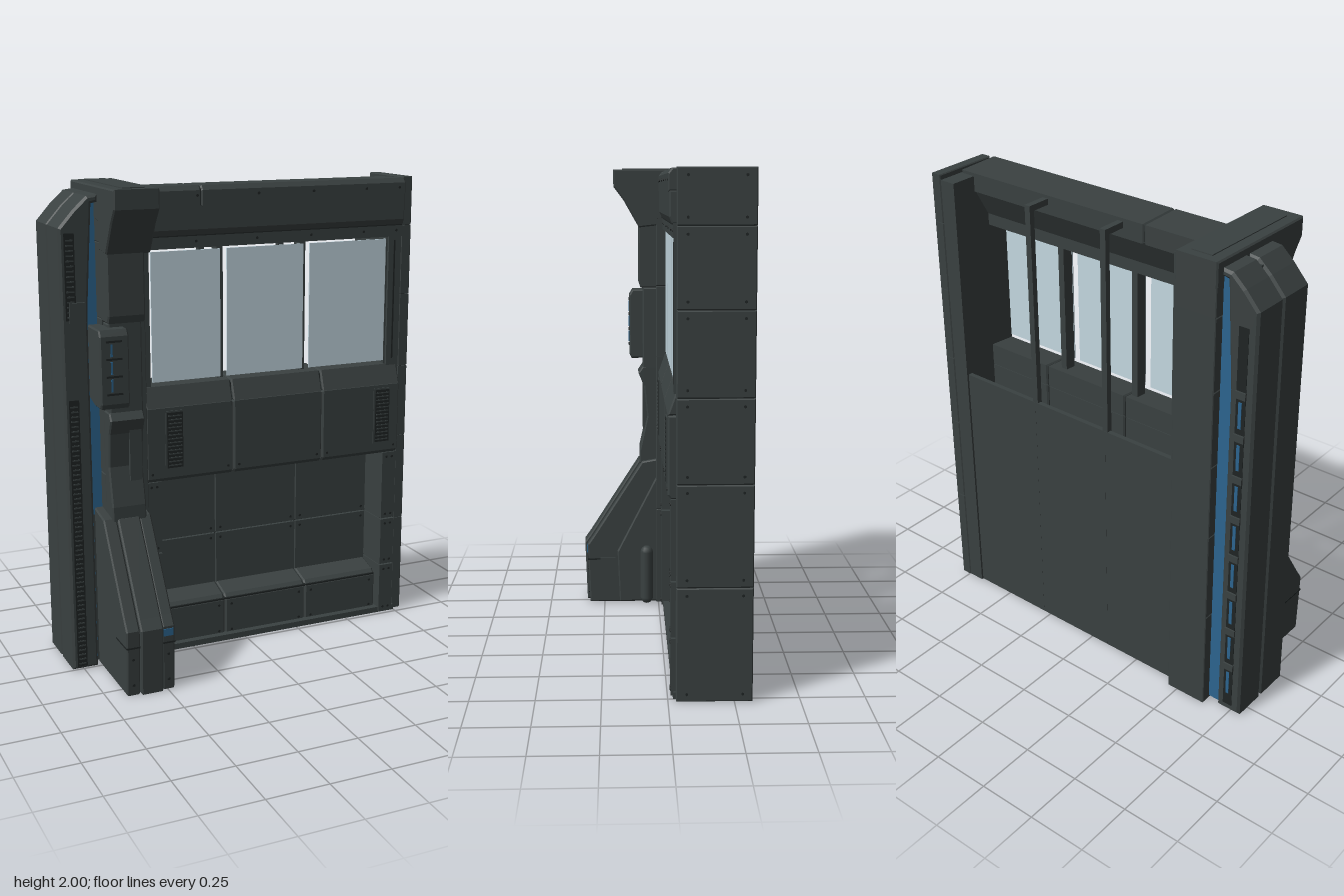
import * as THREE from 'three';

const mat = (name, color, side = THREE.FrontSide) => {
  const m = new THREE.MeshStandardMaterial({ color, side });
  m.name = name;
  return m;
};

export function createModel() {
  const root = new THREE.Group();
  root.name = 'windowWall';
  const steel = mat('dark steel', 0x3a4141);
  const seam = mat('seam black', 0x1f2424);
  const blue = mat('blue light', 0x2c658f);
  const glass = mat('pale glass', 0xc4d8e1, THREE.DoubleSide);

  const add = (name, geo, m) => {
    const mesh = new THREE.Mesh(geo, m);
    mesh.name = name;
    root.add(mesh);
    return mesh;
  };
  // box from its min / max limits
  const box = (name, m, x0, x1, y0, y1, z0, z1) =>
    add(name, new THREE.BoxGeometry(x1 - x0, y1 - y0, z1 - z0)
      .translate((x0 + x1) / 2, (y0 + y1) / 2, (z0 + z1) / 2), m);
  const shape = pts => new THREE.Shape(pts.map(p => new THREE.Vector2(p[0], p[1])));
  // outline extruded over a depth, with a small bevel kept inside the limits
  const bevelled = (pts, depth, b) => new THREE.ExtrudeGeometry(shape(pts), {
    depth: depth - 2 * b, bevelEnabled: true, bevelSize: b,
    bevelOffset: -b, bevelThickness: b, bevelSegments: 1,
  });
  // [z, y] section swept along x
  const sweep = (name, m, pts, x0, x1, b = 0.006) =>
    add(name, bevelled(pts, x1 - x0, b).rotateY(-Math.PI / 2).translate(x1 - b, 0, 0), m);
  const rivetGeo = new THREE.CylinderGeometry(0.006, 0.006, 0.006, 6).rotateX(Math.PI / 2);
  const rivet = (x, y, z, side = false) => {
    const r = add('rivet', rivetGeo, seam);
    r.position.set(x, y, z);
    if (side) r.rotation.y = Math.PI / 2;
  };
  // plates with open joints, riveted near their corners
  const plates = (name, xs, ys, z0, z1, gap = 0.003) => {
    for (let i = 0; i < xs.length - 1; i++) for (let j = 0; j < ys.length - 1; j++) {
      const [a, b, c, d] = [xs[i] + gap, xs[i + 1] - gap, ys[j] + gap, ys[j + 1] - gap];
      box(name, steel, a, b, c, d, z0, z1);
      for (const x of [a + 0.02, b - 0.02]) for (const y of [c + 0.02, d - 0.02])
        rivet(x, y, z1);
    }
  };

  // right end column
  const colY = [0.008, 0.45, 0.84, 1.16, 1.48, 1.78, 1.988];
  box('endColumnCore', seam, 0.75, 0.785, 0.015, 1.98, -0.31, -0.035);
  for (let i = 0; i < colY.length - 1; i++) {
    sweep('endColumnPlate', steel, [[-0.318, colY[i] + 0.001], [-0.03, colY[i] + 0.001],
      [-0.03, colY[i + 1] - 0.001], [-0.318, colY[i + 1] - 0.001]], 0.743, 0.791, 0.004);
    for (const y of [colY[i] + 0.03, colY[i + 1] - 0.03])
      for (const z of [-0.28, -0.07]) rivet(0.789, y, z, true);
  }
  box('endPost', steel, 0.672, 0.745, 0.008, 1.965, -0.314, -0.035);

  // back cladding and floor
  box('floor', steel, -0.46, 0.75, 0.005, 0.03, -0.3, -0.02);
  for (const [a, b] of [[-0.46, -0.09], [-0.0895, 0.285], [0.2855, 0.68]])
    box('backPanel', steel, a, b, 0.008, 1.1, -0.305, -0.285);

  // rear bars hooking onto the roof
  for (const x of [-0.09, 0.285]) {
    box('rearBar', steel, x - 0.013, x + 0.013, 1.0, 1.965, -0.304, -0.28);
    box('rearBarHook', steel, x - 0.013, x + 0.013, 1.94, 1.965, -0.29, -0.19);
  }

  // roof beam and header, sloping down to the window at the back
  const roof = [[-0.2, 1.9], [0, 1.9], [0, 1.965], [-0.015, 1.984], [-0.2, 1.978]];
  sweep('roofBeam', steel, roof, -0.456, -0.203);
  sweep('roofBeam', steel, roof, -0.201, 0.742);
  box('roofSeam', seam, -0.21, -0.19, 1.902, 1.97, -0.19, -0.008);
  sweep('header', steel, [[-0.13, 1.785], [-0.015, 1.785], [-0.004, 1.81], [-0.004, 1.905], [-0.198, 1.905]], -0.456, 0.742);
  box('windowHead', steel, -0.455, 0.74, 1.735, 1.788, -0.13, -0.018);
  box('headerSeam', seam, -0.44, 0.735, 1.783, 1.793, -0.1, -0.014);
  for (const x of [-0.42, -0.22, 0.05, 0.3, 0.55, 0.71]) {
    rivet(x, 1.945, 0);
    rivet(x, 1.762, -0.018);
  }

  // window, with the panes standing proud of the frame
  box('windowJamb', steel, -0.46, -0.418, 1.15, 1.76, -0.13, -0.035);
  box('jambCover', steel, 0.678, 0.738, 1.17, 1.76, -0.04, -0.022);
  box('jambGroove', seam, 0.702, 0.709, 1.2, 1.72, -0.03, -0.02);
  for (const x of [-0.095, 0.285]) box('mullion', steel, x - 0.014, x + 0.014, 1.17, 1.76, -0.12, -0.07);
  for (const [a, b] of [[-0.412, -0.11], [-0.08, 0.27], [0.3, 0.667]])
    box('glassPane', glass, a, b, 1.192, 1.725, -0.036, -0.03);

  // console below the window
  const seams = [-0.455, -0.065, 0.355, 0.738];
  box('consoleCore', seam, -0.445, 0.73, 0.79, 1.16, -0.14, -0.03);
  for (let i = 0; i < 3; i++) {
    sweep('consolePanel', steel, [[-0.15, 0.775], [-0.012, 0.775], [0, 0.79], [0, 1.088], [-0.15, 1.088]],
      seams[i] + 0.002, seams[i + 1] - 0.002);
    sweep('consoleSill', steel, [[-0.15, 1.09], [0, 1.09], [-0.03, 1.175], [-0.15, 1.185]],
      seams[i] + 0.002, seams[i + 1] - 0.002);
    for (const x of [seams[i] + 0.025, seams[i + 1] - 0.025]) rivet(x, 0.81, 0);
  }
  for (const x of [-0.33, 0.65]) {
    box('consoleVentFrame', steel, x - 0.042, x + 0.042, 0.825, 1.075, -0.01, 0.004);
    box('consoleVent', seam, x - 0.035, x + 0.035, 0.832, 1.068, -0.01, 0.006);
    for (let i = 0; i < 14; i++)
      box('ventSlat', steel, x - 0.03, x + 0.03, 0.841 + i * 0.0162, 0.846 + i * 0.0162, 0, 0.008);
  }

  // recess and bench
  const bays = [-0.385, -0.085, 0.305, 0.665];
  box('recessBacking', seam, -0.45, 0.735, 0.02, 0.8, -0.2, -0.17);
  plates('recessPanel', bays, [0.2, 0.46, 0.765], -0.18, -0.155);
  for (let i = 0; i < 3; i++) {
    sweep('bench', steel, [[-0.17, 0.01], [-0.05, 0.01], [-0.05, 0.18], [-0.07, 0.205], [-0.17, 0.235]],
      bays[i] + 0.002, bays[i + 1] - 0.002);
    for (const x of [bays[i] + 0.03, bays[i + 1] - 0.03]) for (const y of [0.04, 0.16]) rivet(x, y, -0.05);
  }
  box('benchGroove', seam, -0.38, 0.66, 0.183, 0.19, -0.1, -0.049);
  plates('recessSide', [-0.455, -0.385], [0.01, 0.46, 0.775], -0.18, -0.012);
  plates('recessSide', [0.665, 0.738], [0.01, 0.24, 0.46, 0.775], -0.18, -0.012);

  // outer left casing, chamfered at the top and reaching over the light channel
  const casing = [[-0.797, 0.008], [-0.797, 1.84], [-0.735, 1.91], [-0.68, 1.96], [-0.636, 1.965],
    [-0.636, 1.935], [-0.662, 1.93], [-0.688, 1.5], [-0.688, 0.008]];
  for (const [z0, z1] of [[-0.316, -0.16], [-0.159, 0.004]])
    add('outerCasing', bevelled(casing, z1 - z0, 0.01).translate(0, 0, z0 + 0.01), steel);
  // slotted strips on the front and back of the casing
  for (const [y0, y1] of [[0.02, 1.16], [1.48, 1.82]]) {
    box('casingVent', seam, -0.778, -0.736, y0, y1, 0, 0.006);
    for (let y = y0 + 0.01; y < y1 - 0.01; y += 0.02) box('casingSlat', steel, -0.772, -0.742, y, y + 0.006, 0, 0.008);
  }
  box('casingClip', steel, -0.765, -0.7, 1.47, 1.55, 0, 0.016);
  box('casingBackSlot', seam, -0.76, -0.718, 0.04, 1.77, -0.318, -0.3);
  for (let i = 0; i < 8; i++) {
    const y = 0.1 + i * 0.18;
    box('casingBackLight', blue, -0.744, -0.73, y, y + 0.11, -0.32, -0.31);
    box('casingBackRung', steel, -0.762, -0.716, y + 0.125, y + 0.155, -0.325, -0.31);
  }
  // light channel sunk between casing and pillar
  box('channel', steel, -0.7, -0.62, 0.01, 1.94, -0.285, -0.05);
  box('frontLight', blue, -0.689, -0.637, 0.66, 1.94, -0.05, -0.043);
  box('frontLightLower', blue, -0.689, -0.676, 0.03, 0.66, -0.05, -0.043);
  box('rearLight', blue, -0.689, -0.637, 0.02, 1.94, -0.303, -0.28);

  // pillar
  box('pillarCore', seam, -0.63, -0.46, 0.01, 1.98, -0.338, 0);
  const pilY = [0.005, 0.45, 0.84, 1.16, 1.48, 1.78, 1.9];
  for (let i = 0; i < pilY.length - 1; i++)
    sweep('pillarSegment', steel, [[-0.343, pilY[i]], [0.01, pilY[i]],
      [0.01, pilY[i + 1]], [-0.343, pilY[i + 1]]], -0.636, -0.453, 0.003);
  sweep('pillarCap', steel, [[-0.345, 1.895], [0, 1.86], [0, 1.75], [0.087, 1.74], [0.155, 1.86], [0.2, 1.92], [0.2, 1.996], [-0.345, 1.996]],
    -0.638, -0.453, 0.006);
  box('capInset', steel, -0.59, -0.5, 1.99, 2.0, -0.31, 0.16);
  sweep('pillarFrontUpper', steel, [[0, 1.47], [0.08, 1.47], [0.09, 1.5], [0.088, 1.76], [0, 1.76]], -0.635, -0.48);
  sweep('pillarFrontMiddle', steel, [[0, 1.1], [0.07, 1.1], [0.07, 1.47], [0, 1.47]], -0.63, -0.49);
  sweep('pillarFrontLower', steel, [[0, 0.64], [0.085, 0.66], [0.085, 0.72], [0.05, 0.88], [0.065, 1.02], [0.09, 1.08], [0.07, 1.11], [0, 1.11]],
    -0.635, -0.49);
  box('pillarHatch', steel, -0.55, -0.5, 0.82, 1.05, 0.02, 0.07);
  // control box
  sweep('controlBox', steel, [[-0.02, 1.16], [0.05, 1.14], [0.12, 1.14], [0.13, 1.16], [0.13, 1.43], [0.115, 1.455], [-0.02, 1.455]], -0.685, -0.565);
  for (const y of [1.2, 1.27, 1.34, 1.41]) box('controlSlot', seam, -0.66, -0.595, y - 0.004, y + 0.004, 0.12, 0.133);
  for (const y of [1.235, 1.305, 1.375]) box('controlLight', blue, -0.642, -0.634, y - 0.025, y + 0.025, 0.12, 0.133);
  // inner post, unit and light beside the pillar, behind the glass
  box('innerPost', steel, -0.46, -0.42, 0.03, 1.965, -0.304, -0.19);
  sweep('innerUnit', steel, [[-0.215, 1.2], [-0.08, 1.2], [-0.08, 1.75], [-0.18, 1.75], [-0.215, 1.66]], -0.46, -0.412);
  box('innerUnitLight', blue, -0.424, -0.415, 1.2, 1.69, -0.295, -0.217);

  // buttress foot: side cheeks around a raised spine
  const foot = d => [[-0.04, 0.005], [0.318 + d, 0.005], [0.328 + d, 0.28], [0.3 + d, 0.32], [0.075 + d, 0.67], [-0.04, 0.69]];
  sweep('footCheek', steel, foot(0), -0.672, -0.615);
  sweep('footCheek', steel, foot(0), -0.52, -0.468);
  sweep('footSpine', steel, foot(0.013), -0.615, -0.52);
  sweep('footSideBrace', steel, [[-0.01, 0.01], [0.18, 0.01], [0.19, 0.25], [0, 0.62], [-0.01, 0.62]], -0.5, -0.455);
  box('footBand', seam, -0.673, -0.467, 0.207, 0.214, 0.2, 0.328);
  box('footLight', blue, -0.53, -0.475, 0.24, 0.27, 0.3, 0.331);
  box('footSideBox', steel, -0.48, -0.46, 0.1, 0.22, 0.2, 0.27);
  for (const x of [-0.645, -0.495]) for (const y of [0.05, 0.16]) rivet(x, y, 0.323);

  // bollard beside the foot
  add('bollard', new THREE.CapsuleGeometry(0.029, 0.215, 4, 12).translate(-0.428, 0.147, 0.055), steel);

  return root;
}
